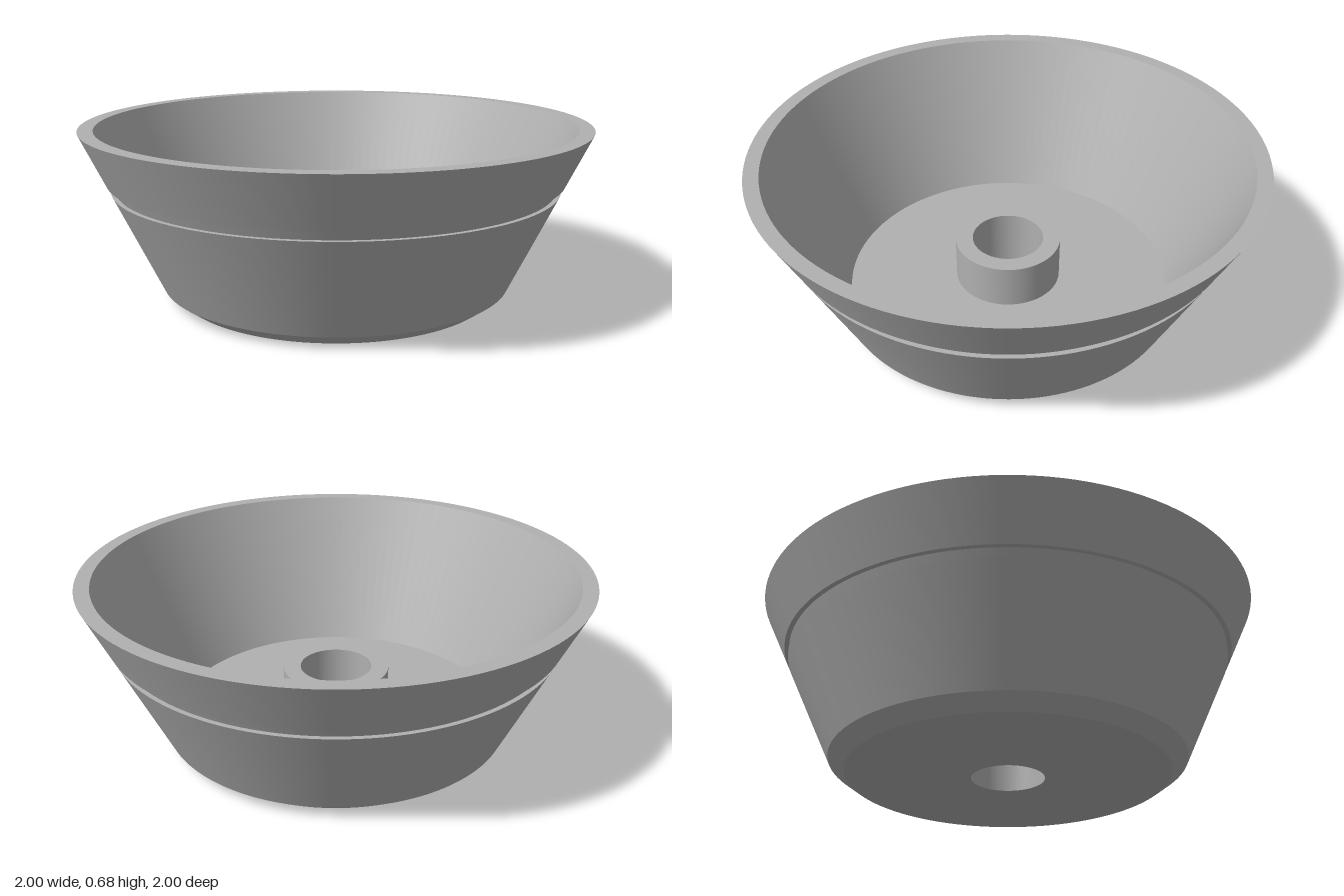
import * as THREE from 'three';
import { mergeGeometries } from 'three/addons/utils/BufferGeometryUtils.js';

const SEGMENTS = 128;

// Revolve a profile, one band per segment so every corner stays crisp
function revolve(profile) {
  const bands = [];
  for (let i = 0; i < profile.length - 1; i++) {
    const ends = [profile[i], profile[i + 1]].map(([r, y]) => new THREE.Vector2(r, y));
    bands.push(new THREE.LatheGeometry(ends, SEGMENTS));
  }
  return mergeGeometries(bands);
}

export function createModel() {
  const group = new THREE.Group();
  group.name = 'bowl';
  const grey = new THREE.MeshStandardMaterial({ color: 0xb0b0b0 });
  grey.name = 'grey';

  const add = (name, profile) => {
    const mesh = new THREE.Mesh(revolve(profile), grey);
    mesh.name = name;
    group.add(mesh);
  };

  // Profiles are [radius, height], running up the outside and down the inside
  add('base', [[0.145, 0], [0.637, 0], [0.702, 0.048]]);
  add('outerWall', [[0.702, 0.048], [0.887, 0.443]]);
  add('groove', [[0.887, 0.443], [0.869, 0.443], [0.886, 0.48], [0.904, 0.48]]);
  add('upperBand', [[0.904, 0.48], [1, 0.684]]);
  add('rim', [[1, 0.684], [0.941, 0.684]]);
  add('innerWall', [[0.941, 0.684], [0.656, 0.075]]);
  add('floor', [[0.656, 0.075], [0.215, 0.075]]);
  add('hub', [[0.215, 0.075], [0.215, 0.257], [0.145, 0.257]]);
  add('centreHole', [[0.145, 0.257], [0.145, 0]]);

  return group;
}
